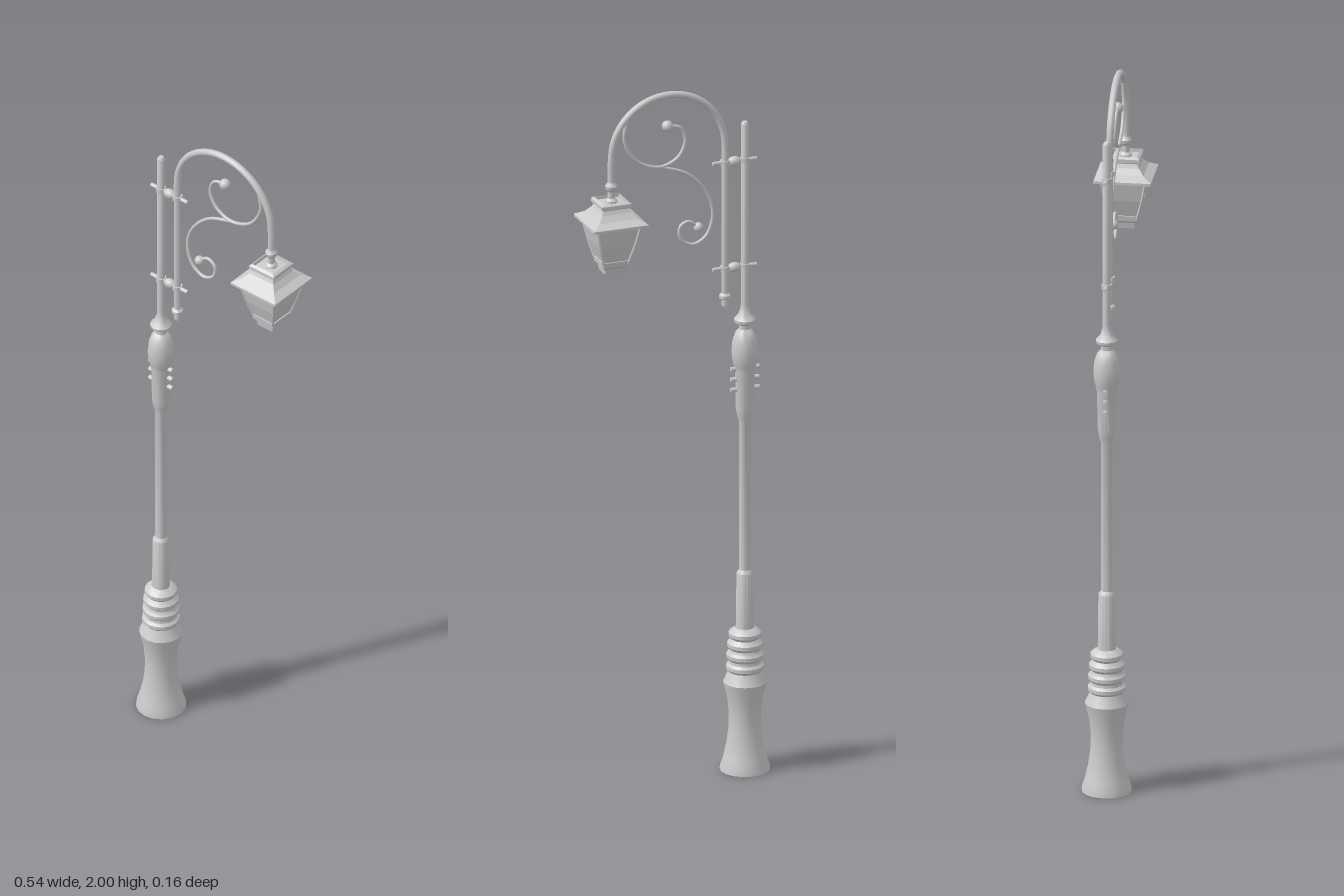
import * as THREE from 'three';
import { toCreasedNormals } from 'three/addons/utils/BufferGeometryUtils.js';

const POLE_X = -0.2, ARM_X = -0.142, LAMP_X = 0.19;
const smooth = new THREE.MeshStandardMaterial({ color: 0xcccccc, side: THREE.DoubleSide });
const flat = new THREE.MeshStandardMaterial({ color: 0xcccccc, side: THREE.DoubleSide, flatShading: true });

const vec2 = ([x, y]) => new THREE.Vector2(x, y);
const vec3 = ([x, y]) => new THREE.Vector3(x, y, 0);

function add(parent, name, geometry, x = 0, y = 0, material = smooth) {
  const mesh = new THREE.Mesh(geometry, material);
  mesh.name = name;
  mesh.position.set(x, y, 0);
  parent.add(mesh);
  return mesh;
}

// Round turned part; profile is [radius, height] from the bottom up
const turned = (profile, sides = 16) =>
  toCreasedNormals(new THREE.LatheGeometry(profile.map(vec2), sides), 0.6);

// Square part; profile is [half width, height] from the bottom up
const squared = (profile) =>
  new THREE.LatheGeometry(profile.map(([w, y]) => new THREE.Vector2(w * Math.SQRT2, y)), 4, Math.PI / 4);

const ball = (r) => new THREE.SphereGeometry(r, 12, 8);

function wire(points, radius, segments = 48) {
  return new THREE.TubeGeometry(new THREE.CatmullRomCurve3(points.map(vec3)), segments, radius, 8);
}

export function createModel() {
  const lampPost = new THREE.Group();
  lampPost.name = 'streetLamp';

  // Flared foot
  add(lampPost, 'base', turned([
    [0, 0], [0.069, 0], [0.068, 0.012], [0.06, 0.035], [0.051, 0.075], [0.045, 0.12],
    [0.044, 0.16], [0.048, 0.205], [0.058, 0.245], [0.06, 0.255], [0.056, 0.263], [0.044, 0.29], [0, 0.29],
  ]), POLE_X);

  // Stacked collar rings
  const rings = [[0.285, 0.052], [0.318, 0.051], [0.35, 0.049], [0.38, 0.045]];
  const collar = [[0.04, 0.28]];
  for (const [y, r] of rings) {
    collar.push([r - 0.007, y], [r, y + 0.008], [r, y + 0.018], [r - 0.007, y + 0.025]);
  }
  collar.push([0.026, 0.412]);
  add(lampPost, 'collarRings', turned(collar), POLE_X);

  // Shaft with sleeve, swelling neck, urn and finial
  add(lampPost, 'shaft', turned([
    [0.025, 0.4], [0.023, 0.57], [0.016, 0.58], [0.016, 1.01], [0.021, 1.025],
    [0.025, 1.05], [0.027, 1.16], [0.031, 1.175], [0.035, 1.19], [0.037, 1.215],
    [0.034, 1.245], [0.026, 1.27], [0.016, 1.28], [0.016, 1.292], [0.029, 1.3],
    [0.03, 1.308], [0.018, 1.322], [0.012, 1.34], [0.011, 1.35],
  ]), POLE_X);
  add(lampPost, 'upperPole', turned([[0.011, 1.34], [0.011, 1.875], [0.007, 1.882], [0, 1.883]], 12), POLE_X);

  // Studs on both sides of the neck
  for (const side of [-1, 1]) {
    for (const y of [1.105, 1.135, 1.165]) {
      add(lampPost, 'neckStud', new THREE.CylinderGeometry(0.007, 0.007, 0.018, 8), POLE_X + side * 0.032, y)
        .rotation.z = Math.PI / 2;
    }
  }

  // Curved arm
  const arm = new THREE.CurvePath();
  const radius = (LAMP_X - ARM_X) / 2, middle = (LAMP_X + ARM_X) / 2, spring = 1.989 - radius;
  const path = [[ARM_X, 1.355], [ARM_X, 1.5], [ARM_X, 1.65], [ARM_X, 1.77]];
  for (let i = 0; i <= 12; i++) {
    const a = Math.PI * (1 - i / 12);
    path.push([middle + radius * Math.cos(a), spring + radius * Math.sin(a)]);
  }
  path.push([LAMP_X, 1.73]);
  add(lampPost, 'arm', wire(path, 0.01, 80));
  add(lampPost, 'armEndCap', turned([[0, 0], [0.01, 0], [0.01, 0.018], [0.016, 0.022], [0.016, 0.03], [0.01, 0.036]], 12),
    ARM_X, 1.355);

  // Brackets joining the pole and the arm
  for (const y of [1.462, 1.77]) {
    const bracket = new THREE.Group();
    bracket.name = 'bracket';
    bracket.position.y = y;
    add(bracket, 'bracketBar', new THREE.CylinderGeometry(0.006, 0.006, 0.128, 8), -0.17).rotation.z = Math.PI / 2;
    add(bracket, 'bracketBead', ball(0.014), -0.169).scale.x = 1.4;
    for (const x of [POLE_X, ARM_X]) {
      add(bracket, 'bracketSleeve', new THREE.CylinderGeometry(0.014, 0.014, 0.014, 12), x);
    }
    lampPost.add(bracket);
  }

  // Scrollwork under the arch
  add(lampPost, 'upperScroll', wire([
    [0.14, 1.945], [0.152, 1.873], [0.116, 1.808], [0.048, 1.782], [-0.005, 1.804],
    [-0.026, 1.851], [-0.011, 1.889], [0.024, 1.898],
  ], 0.005));
  add(lampPost, 'lowerScroll', wire([
    [0.048, 1.782], [-0.032, 1.751], [-0.09, 1.687], [-0.106, 1.623], [-0.087, 1.565], [-0.048, 1.544],
    [-0.014, 1.563], [-0.011, 1.6], [-0.035, 1.613], [-0.063, 1.592],
  ], 0.005));
  add(lampPost, 'upperScrollBall', ball(0.016), 0.026, 1.898);
  add(lampPost, 'lowerScrollBall', ball(0.014), -0.064, 1.592);

  // Lantern
  const lantern = new THREE.Group();
  lantern.name = 'lantern';
  lantern.position.x = LAMP_X;
  add(lantern, 'hanger', turned([
    [0.02, 1.68], [0.017, 1.705], [0.01, 1.712], [0.01, 1.73], [0.016, 1.738], [0.017, 1.747], [0.01, 1.757], [0.009, 1.77],
  ], 12));
  add(lantern, 'crown', squared([
    [0.034, 1.675], [0.035, 1.688], [0.043, 1.693], [0.043, 1.703], [0.036, 1.708], [0.035, 1.698], [0, 1.702],
  ]), 0, 0, flat);
  add(lantern, 'roof', squared([
    [0.06, 1.636], [0.079, 1.642], [0.079, 1.649], [0.056, 1.662], [0.042, 1.678], [0.036, 1.69],
  ]), 0, 0, flat);
  add(lantern, 'glass', squared([
    [0, 1.535], [0.034, 1.535], [0.05, 1.585], [0.061, 1.638], [0, 1.64],
  ]), 0, 0, flat);
  add(lantern, 'lanternFoot', squared([
    [0, 1.498], [0.026, 1.498], [0.029, 1.515], [0.036, 1.522], [0.038, 1.537], [0, 1.538],
  ]), 0, 0, flat);

  // Corner bars of the lantern
  for (const sx of [-1, 1]) {
    for (const sz of [-1, 1]) {
      const points = [[0.035, 1.53], [0.05, 1.585], [0.061, 1.64]]
        .map(([w, y]) => new THREE.Vector3(sx * w, y, sz * w));
      add(lantern, 'cornerBar', new THREE.TubeGeometry(new THREE.CatmullRomCurve3(points), 4, 0.0035, 4), 0, 0, flat);
    }
  }
  lampPost.add(lantern);
  return lampPost;
}
